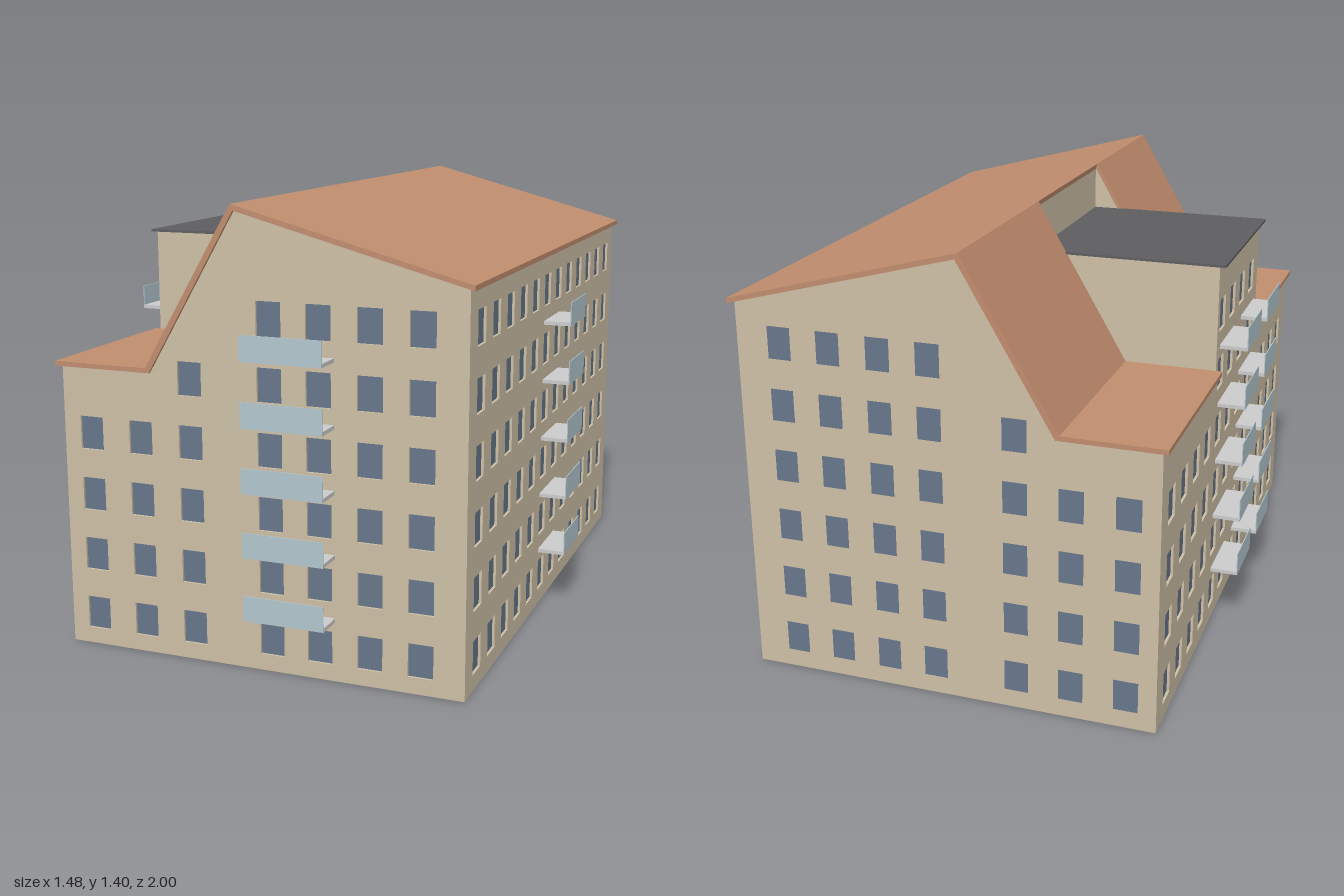
import * as THREE from 'three';
import { mergeGeometries } from 'three/addons/utils/BufferGeometryUtils.js';

const mat = (color) => new THREE.MeshStandardMaterial({ color });
const WALL = mat(0xcdbfa6), ROOF = mat(0xc18d6e), DARK = mat(0x5e5e60);
const GLASS = mat(0x66768a), PANEL = mat(0xb2c6ce), SLAB = mat(0xcccccc);

const D = 0.01; // wall skin thickness, also the window recess
const BACK = -0.98, FRONT = 0.91, BAY0 = -0.33, BAY1 = 0.3;
const WIN_W = 0.078, WIN_H = 0.104;
const rowY = (r) => 0.103 + r * 0.195;

const shapeOf = (pts) => new THREE.Shape(pts.map(([x, y]) => new THREE.Vector2(x, y)));

function add(parent, name, geometry, material) {
  const mesh = new THREE.Mesh(geometry, material);
  mesh.name = name;
  parent.add(mesh);
  return mesh;
}

// Extrude an x-y profile from z0 to z1
function section(pts, z0, z1) {
  const g = new THREE.ExtrudeGeometry(shapeOf(pts), { depth: z1 - z0, bevelEnabled: false });
  return g.translate(0, 0, z0);
}

function box(x0, x1, y0, y1, z0, z1) {
  const g = new THREE.BoxGeometry(x1 - x0, y1 - y0, z1 - z0);
  return g.translate((x0 + x1) / 2, (y0 + y1) / 2, (z0 + z1) / 2);
}

// Facade skin with window openings and recessed panes; local outer face is z = 0
function facade(name, outline, windows) {
  const group = new THREE.Group();
  group.name = name;
  const shape = shapeOf(outline);
  const panes = [];
  for (const [x, y] of windows) {
    const a = x - WIN_W / 2, b = x + WIN_W / 2, c = y - WIN_H / 2, d = y + WIN_H / 2;
    shape.holes.push(new THREE.Path([[a, c], [a, d], [b, d], [b, c]].map((p) => new THREE.Vector2(...p))));
    panes.push(box(a, b, c, d, -D, -D + 0.002));
  }
  const skin = new THREE.ExtrudeGeometry(shape, { depth: D, bevelEnabled: false });
  add(group, name + 'Wall', skin.translate(0, 0, -D), WALL);
  add(group, name + 'Windows', mergeGeometries(panes), GLASS);
  return group;
}

// Stack of five balconies; local wall plane is z = 0
function balconies(name, width) {
  const group = new THREE.Group();
  group.name = name;
  for (let i = 0; i < 5; i++) {
    const y = 0.187 + i * 0.195;
    add(group, 'balconyFloor', box(-width / 2, width / 2, y, y + 0.012, 0, 0.088), SLAB);
    add(group, 'balconyPanel', box(-width / 2, width / 2, y, y + 0.078, 0.087, 0.09), PANEL);
  }
  return group;
}

export function createModel() {
  const model = new THREE.Group();
  model.name = 'apartmentBuilding';

  // Solid core: stepped gable profile at both ends, taller bay in the middle
  const gable = (w) => [[-w, 0], [w, 0], [w, 1.2], [-0.06, 1.39], [-0.35, 0.895], [-w, 0.895]];
  const bay = (w) => [[-w, 0], [w, 0], [w, 1.2], [-0.06, 1.39], [-0.06, 1.245], [-w, 1.245]];
  const w = 0.65 - D;
  add(model, 'backCore', section(gable(w), BACK + D, BAY0), WALL);
  add(model, 'bayCore', section(bay(w), BAY0, BAY1), WALL);
  add(model, 'frontCore', section(gable(w), BAY1, FRONT - D), WALL);

  // Gable facades
  const endWindows = [];
  [[-0.555, 4], [-0.385, 4], [-0.215, 5], [0.045, 6], [0.2, 6], [0.358, 6], [0.515, 6]].forEach(([x, rows]) => {
    for (let r = 0; r < rows; r++) endWindows.push([x, rowY(r)]);
  });
  const front = facade('frontFacade', gable(0.65), endWindows);
  front.position.z = FRONT;
  const mirror = (pts) => pts.map(([x, y]) => [-x, y]);
  const back = facade('backFacade', mirror(gable(0.65)), mirror(endWindows));
  back.rotation.y = Math.PI;
  back.position.z = BACK;

  // Long facades: twelve window columns; the low side rises only at the bay
  const z0 = BACK + D, z1 = FRONT - D;
  const highWindows = [], lowWindows = [];
  for (let c = 0; c < 12; c++) {
    const z = -0.865 + c * 0.151;
    const lowRows = z > BAY0 && z < BAY1 ? 6 : 4;
    for (let r = 0; r < 6; r++) {
      highWindows.push([-z, rowY(r)]);
      if (r < lowRows) lowWindows.push([z, rowY(r)]);
    }
  }
  const high = facade('leftFacade', [[-z1, 0], [-z0, 0], [-z0, 1.2], [-z1, 1.2]], highWindows);
  high.rotation.y = Math.PI / 2;
  high.position.x = 0.65;
  const low = facade('rightFacade', [[z0, 0], [z1, 0], [z1, 0.895], [BAY1, 0.895], [BAY1, 1.245],
    [BAY0, 1.245], [BAY0, 0.895], [z0, 0.895]], lowWindows);
  low.rotation.y = -Math.PI / 2;
  low.position.x = -0.65;
  model.add(front, back, high, low);

  // Tiled roofs: one long slope, and a steep slope with low eave either side of the bay
  const longSlope = [[-0.065, 1.405], [-0.06, 1.387], [0.665, 1.193], [0.665, 1.209]];
  const steepSlope = [[-0.67, 0.893], [-0.345, 0.893], [-0.055, 1.388], [-0.065, 1.405], [-0.357, 0.908], [-0.67, 0.908]];
  add(model, 'longRoof', section(longSlope, -1, 0.92), ROOF);
  add(model, 'steepRoofBack', section(steepSlope, -1, BAY0), ROOF);
  add(model, 'steepRoofFront', section(steepSlope, BAY1, 0.92), ROOF);
  add(model, 'bayFlatRoof', box(-0.67, -0.06, 1.243, 1.251, BAY0 - 0.006, BAY1 + 0.006), DARK);

  // Balconies: one stack on the front and high side, two on the bay
  const frontStack = balconies('frontBalconies', 0.256);
  frontStack.position.set(0.121, 0, FRONT);
  const highStack = balconies('leftBalconies', 0.212);
  highStack.rotation.y = Math.PI / 2;
  highStack.position.set(0.65, 0, -0.022);
  model.add(frontStack, highStack);
  for (const z of [-0.18, 0.147]) {
    const stack = balconies('rightBalconies', 0.212);
    stack.rotation.y = -Math.PI / 2;
    stack.position.set(-0.65, 0, z);
    model.add(stack);
  }
  return model;
}
